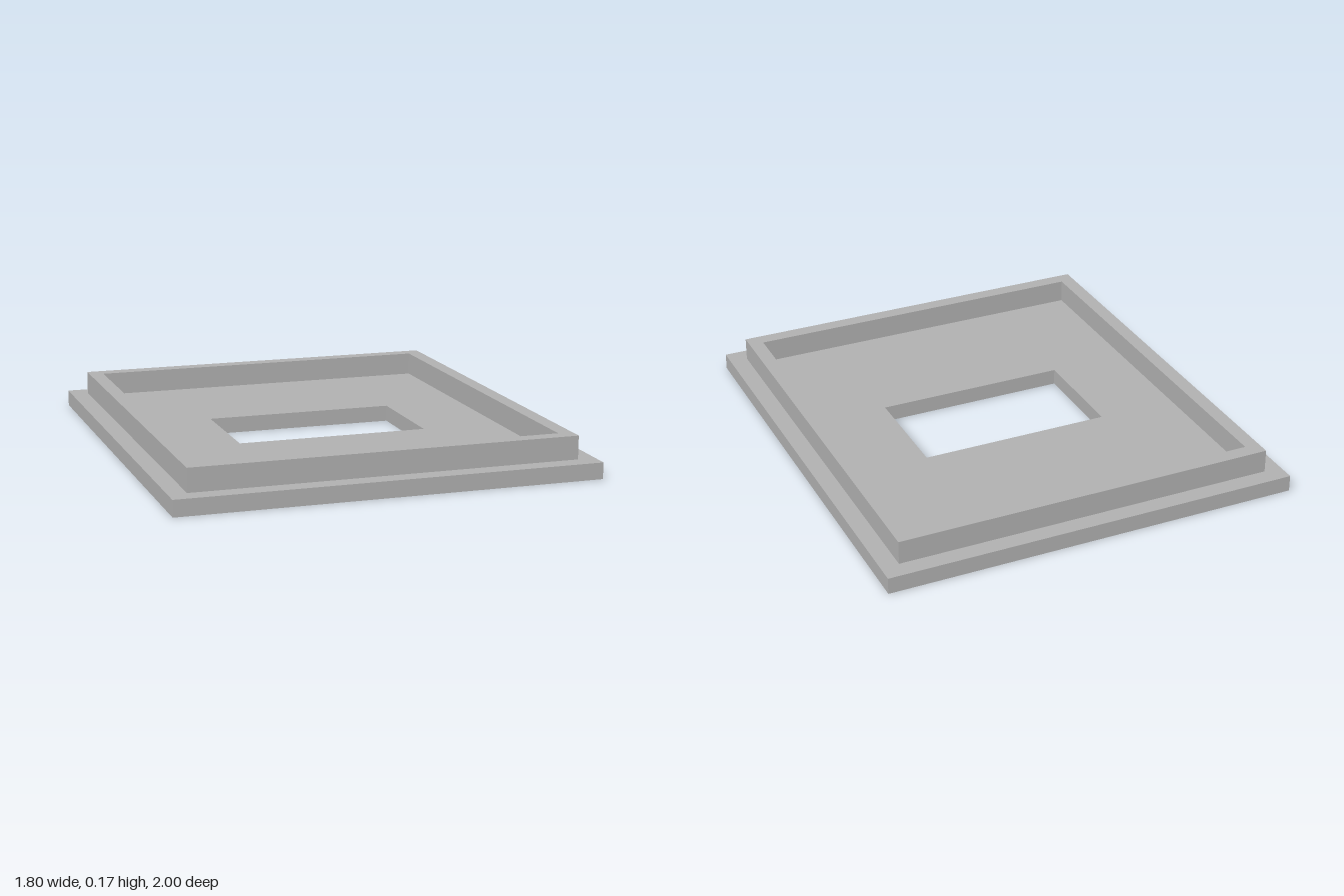
import * as THREE from 'three';

// Rectangle outline centred on the origin, from its half sizes
function outline(PathType, hx, hz) {
  const path = new PathType();
  path.moveTo(-hx, -hz);
  path.lineTo(hx, -hz);
  path.lineTo(hx, hz);
  path.lineTo(-hx, hz);
  path.closePath();
  return path;
}

// Upright rectangular frame: outer and inner half sizes, bottom and top heights
function frame(name, outer, inner, y0, y1, material) {
  const shape = outline(THREE.Shape, ...outer);
  shape.holes.push(outline(THREE.Path, ...inner));
  const geometry = new THREE.ExtrudeGeometry(shape, { depth: y1 - y0, bevelEnabled: false });
  geometry.rotateX(-Math.PI / 2);
  geometry.translate(0, y0, 0);
  const mesh = new THREE.Mesh(geometry, material);
  mesh.name = name;
  return mesh;
}

export function createModel() {
  const grey = new THREE.MeshStandardMaterial({ color: 0xb0b0b0 });
  grey.name = 'plain grey';

  const model = new THREE.Group();
  model.name = 'coverPlate';
  model.add(
    // Base plate with the central window
    frame('basePlate', [0.9, 1], [0.415, 0.235], 0, 0.07, grey),
    // Raised lip set in from the plate edge
    frame('raisedLip', [0.823, 0.923], [0.76, 0.86], 0.07, 0.17, grey),
  );
  return model;
}
